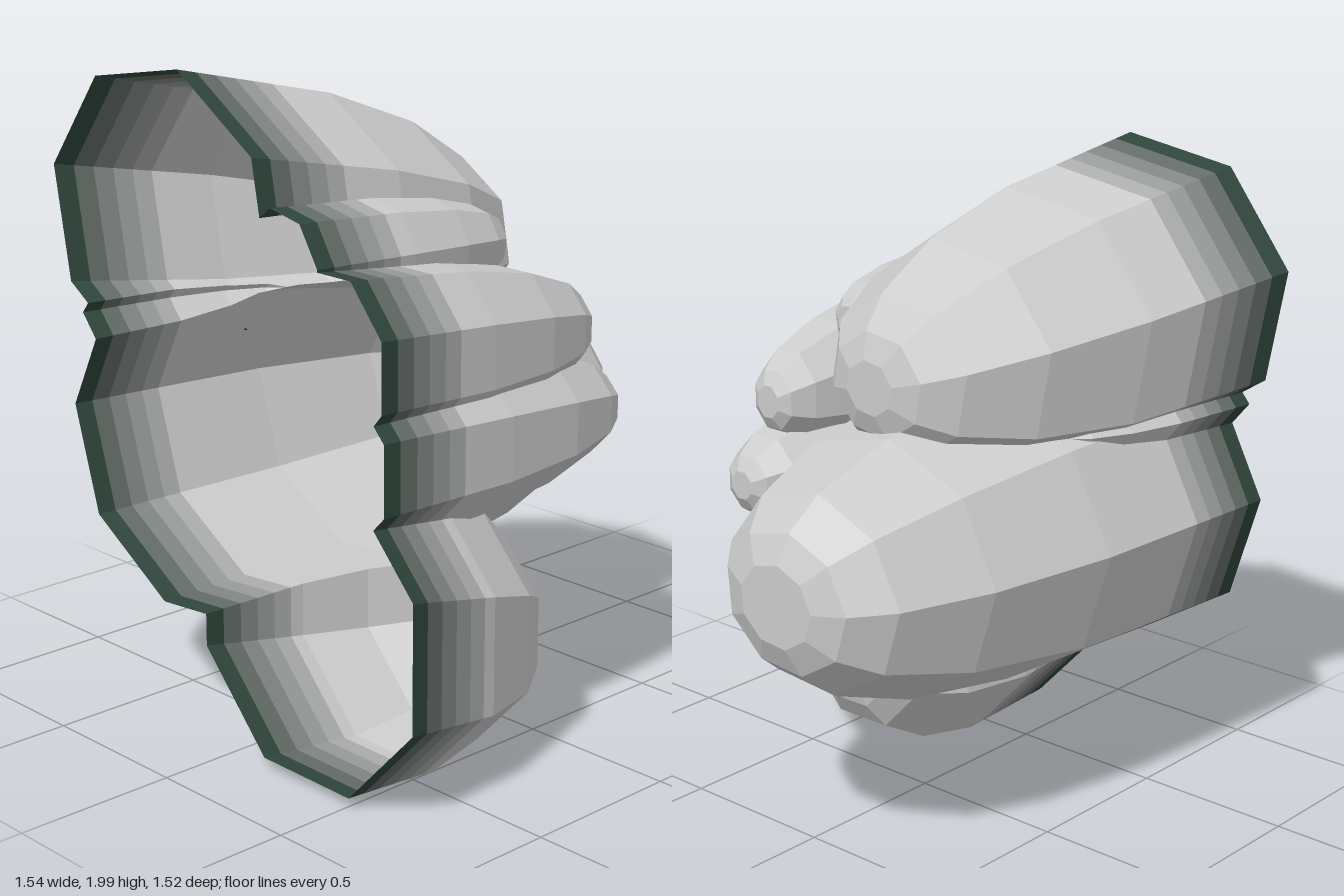
import * as THREE from 'three';
import { ConvexGeometry } from 'three/addons/geometries/ConvexGeometry.js';

const RIM = 0.76;

// rim: centre x, y and radii; tip: centre x, y, z; turn: angle of the first corner in degrees;
// blunt: smaller values keep the lobe wide until close to its tip
const LOBES = [
  { name: 'upperLobe', sides: 8, turn: 32, rim: [-0.28, 1.55, 0.5, 0.46], tip: [-0.07, 1.39, -0.32], blunt: 0.37 },
  { name: 'middleLobe', sides: 9, turn: 15, rim: [-0.15, 0.88, 0.56, 0.5], tip: [-0.12, 0.86, -0.76], blunt: 0.3 },
  { name: 'lowerLobe', sides: 8, turn: 22, rim: [0.335, 0.5, 0.47, 0.5], tip: [0.34, 0.35, 0], blunt: 0.35 },
  { name: 'lowerFinger', sides: 8, turn: 22, rim: [0.42, 1, 0.26, 0.27], tip: [0.48, 0.97, -0.31], blunt: 0.38 },
  { name: 'middleFinger', sides: 8, turn: 22, rim: [0.45, 1.28, 0.22, 0.26], tip: [0.46, 1.22, -0.21], blunt: 0.34 },
  { name: 'upperFinger', sides: 8, turn: 12, rim: [0.25, 1.49, 0.16, 0.18], tip: [0.29, 1.47, -0.03], blunt: 0.28 },
  // Webs filling the hollows between neighbouring lobes
  { name: 'innerWeb', sides: 6, turn: 0, rim: [0.25, 1.28, 0.16, 0.22], tip: [0.23, 1.28, -0.05], blunt: 0.3 },
  { name: 'sideWeb', sides: 6, turn: 0, rim: [-0.42, 1.22, 0.23, 0.16], tip: [-0.38, 1.22, 0.1], blunt: 0.35 },
];
const STEPS = [0, 0.45, 0.72, 0.9, 0.97, 0.995];

// Bands from the plain body to the tinted rim
const TINT_START = 0.4, TINT_BANDS = 6;
const BANDS = Array.from({ length: TINT_BANDS + 1 }, (_, i) => ({
  name: i ? `rimBand${i}` : 'shell',
  from: i ? TINT_START + (RIM - TINT_START) * (i - 1) / TINT_BANDS : -1,
  to: TINT_START + (RIM - TINT_START) * i / TINT_BANDS,
  color: new THREE.Color(0xcccccc).lerp(new THREE.Color(0x30463c), i / TINT_BANDS),
}));

// Rings of a lobe, shrinking from the rim to a rounded tip
function lobePoints({ sides, turn, rim, tip, blunt }) {
  const { lerp, degToRad } = THREE.MathUtils;
  return STEPS.flatMap(t => {
    const scale = (1 - t * t) ** blunt;
    return Array.from({ length: sides }, (_, i) => {
      const a = degToRad(turn + i * 360 / sides);
      return new THREE.Vector3(
        lerp(rim[0], tip[0], t) + rim[2] * scale * Math.cos(a),
        lerp(rim[1], tip[1], t) + rim[3] * scale * Math.sin(a),
        lerp(RIM, tip[2], t / STEPS.at(-1)));
    });
  });
}

// Convex triangles of a lobe, with their planes
function hullFaces(lobe) {
  const pos = new ConvexGeometry(lobePoints(lobe)).attributes.position;
  const faces = [];
  for (let i = 0; i < pos.count; i += 3) {
    const corners = [0, 1, 2].map(k => new THREE.Vector3().fromBufferAttribute(pos, i + k));
    if (new THREE.Triangle(...corners).getArea() < 1e-7) continue;
    faces.push({ corners, plane: new THREE.Plane().setFromCoplanarPoints(...corners) });
  }
  return faces;
}

// Cut a convex polygon by a plane into its front and back pieces
function split(poly, plane) {
  const front = [], back = [], eps = 1e-6;
  const d = poly.map(p => plane.distanceToPoint(p));
  poly.forEach((p, i) => {
    const j = (i + 1) % poly.length;
    if (d[i] >= -eps) front.push(p);
    if (d[i] <= eps) back.push(p);
    if ((d[i] > eps && d[j] < -eps) || (d[i] < -eps && d[j] > eps)) {
      const cut = p.clone().lerp(poly[j], d[i] / (d[i] - d[j]));
      front.push(cut);
      back.push(cut);
    }
  });
  return [d.some(v => v > eps) ? front : [], d.some(v => v < -eps) ? back : []];
}

// Remove the part of a polygon lying inside a convex lobe
function outside(poly, faces) {
  const kept = [];
  let rest = poly;
  for (const { plane } of faces) {
    const [front, back] = split(rest, plane);
    if (back.length < 3) return [poly];
    if (front.length > 2) kept.push(front);
    rest = back;
  }
  return kept;
}

function polygonsToGeometry(polys) {
  const coords = [];
  for (const p of polys)
    for (let i = 1; i < p.length - 1; i++)
      for (const v of [p[0], p[i], p[i + 1]]) coords.push(v.x, v.y, v.z);
  const geometry = new THREE.BufferGeometry();
  geometry.setAttribute('position', new THREE.Float32BufferAttribute(coords, 3));
  geometry.computeVertexNormals();
  return geometry;
}

export function createModel() {
  const model = new THREE.Group();
  model.name = 'lobedShell';
  const hulls = LOBES.map(hullFaces);
  const materials = BANDS.map(({ color }) =>
    new THREE.MeshStandardMaterial({ color, flatShading: true, side: THREE.DoubleSide }));

  LOBES.forEach((lobe, n) => {
    // Drop the cap at the rim so the shell is open, then trim against the other lobes
    let polys = hulls[n].filter(f => f.plane.normal.z < 0.99).map(f => f.corners);
    hulls.forEach((other, m) => {
      if (m !== n) polys = polys.flatMap(p => outside(p, other));
    });

    const group = new THREE.Group();
    group.name = lobe.name;
    BANDS.forEach(({ name, from, to }, b) => {
      const lower = new THREE.Plane(new THREE.Vector3(0, 0, 1), -from);
      const upper = new THREE.Plane(new THREE.Vector3(0, 0, 1), -to);
      const part = polys.map(p => split(p, lower)[0]).filter(p => p.length > 2)
        .map(p => split(p, upper)[1]).filter(p => p.length > 2);
      if (!part.length) return;
      const mesh = new THREE.Mesh(polygonsToGeometry(part), materials[b]);
      mesh.name = name;
      group.add(mesh);
    });
    model.add(group);
  });
  return model;
}
